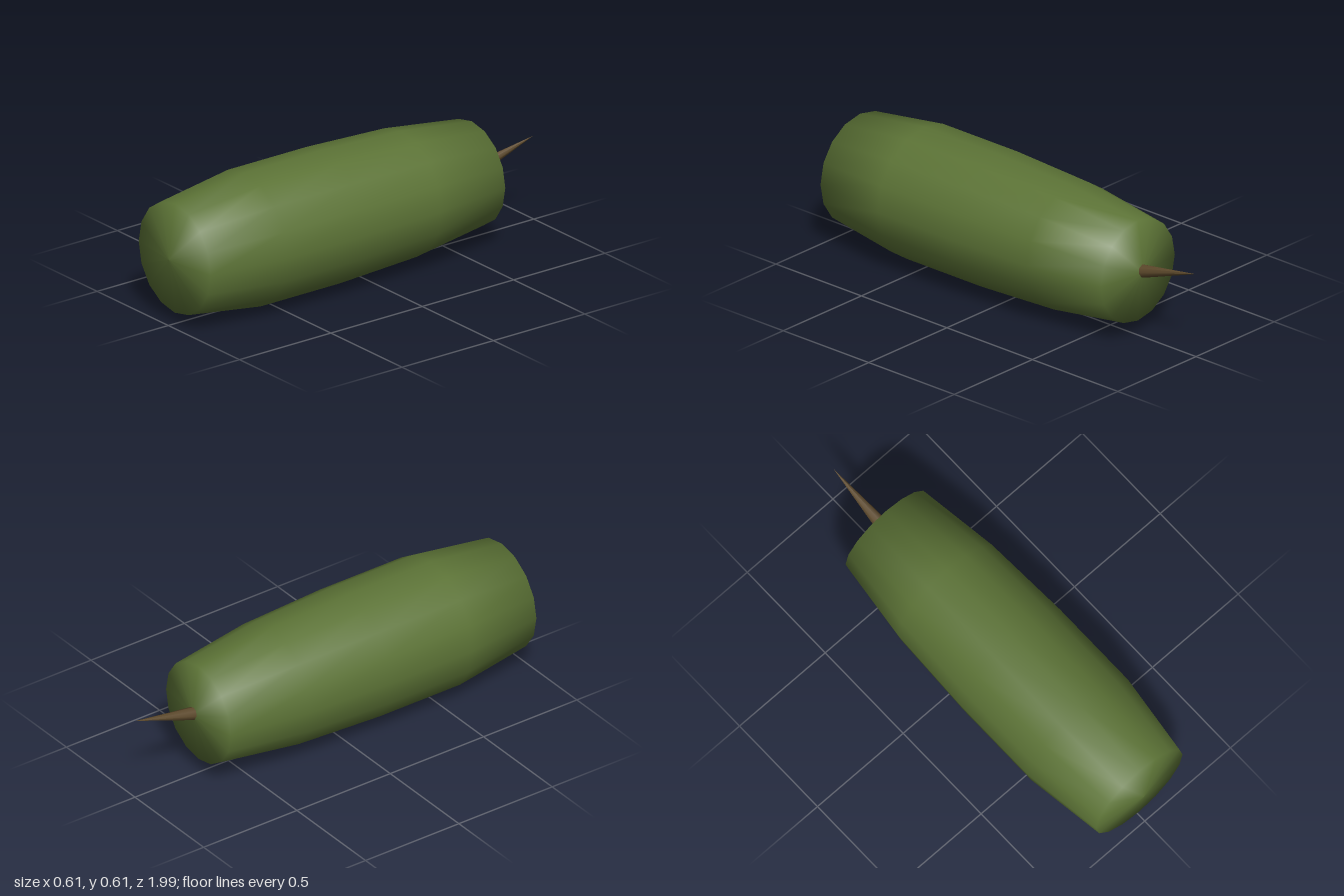
import * as THREE from 'three';

export function createModel() {
  const group = new THREE.Group();
  const centreY = 0.305;

  // Melon body: 16-sided lathe of [radius, z], laid along z
  const profile = [
    [0, -0.692], [0.236, -0.66], [0.287, -0.27],
    [0.304, 0.15], [0.304, 0.585], [0.253, 0.965], [0, 0.997],
  ].map(([r, z]) => new THREE.Vector2(r, z));
  const rind = new THREE.LatheGeometry(profile, 16);
  rind.rotateX(Math.PI / 2);
  const body = new THREE.Mesh(rind, new THREE.MeshStandardMaterial({ color: 0x5c7336 }));
  body.name = 'melonBody';
  body.position.y = centreY;
  group.add(body);

  // Stem: thin spike tilted up from the back end
  const base = new THREE.Vector3(0, 0.313, -0.693);
  const tip = new THREE.Vector3(0, 0.39, -0.997);
  const axis = tip.clone().sub(base);
  const stem = new THREE.Mesh(
    new THREE.ConeGeometry(0.03, axis.length(), 8),
    new THREE.MeshStandardMaterial({ color: 0x5e4a2c })
  );
  stem.name = 'stem';
  stem.position.copy(base).add(tip).multiplyScalar(0.5);
  stem.quaternion.setFromUnitVectors(new THREE.Vector3(0, 1, 0), axis.normalize());
  group.add(stem);

  return group;
}
